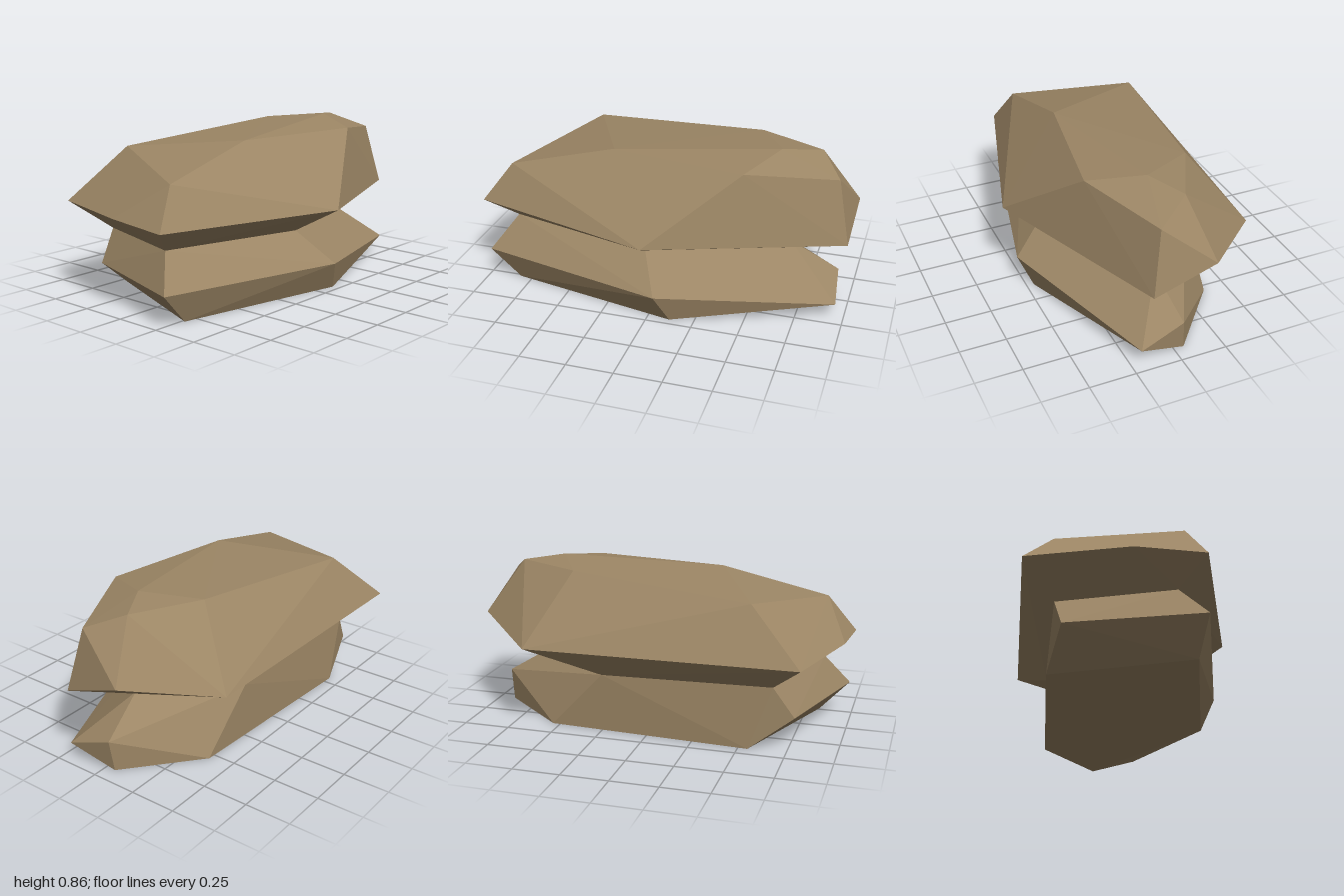
import * as THREE from 'three';
import { ConvexGeometry } from 'three/addons/geometries/ConvexGeometry.js';

const stone = new THREE.MeshStandardMaterial({ color: 0x9c8665 });
stone.name = 'brownStone';

// Narrow waist shared by both layers of the rock
const waist = [
  [-0.85, 0.345, 0.17], [-0.05, 0.325, 0.335], [0.67, 0.325, 0],
  [0.25, 0.31, -0.39], [-0.67, 0.335, -0.41],
];

// Upper layer: widest rim, then the domed top
const upperRim = [
  [-1, 0.47, 0.29], [0, 0.46, 0.575], [0.99, 0.425, 0.16], [1, 0.545, -0.17],
  [0.63, 0.465, -0.545], [-0.83, 0.485, -0.578], [-0.98, 0.49, -0.06],
];
const crown = [
  [-0.85, 0.675, 0.21], [-0.27, 0.815, 0.17], [0.46, 0.815, 0.295], [0.92, 0.76, 0.1],
  [0.6, 0.86, 0.02], [0.8, 0.838, -0.085], [0.44, 0.835, -0.27], [-0.55, 0.76, -0.415],
];

// Lower layer: bulging rim, then the flat foot
const lowerRim = [
  [-0.98, 0.165, 0.29], [0.05, 0.155, 0.525], [0.955, 0.088, 0.2],
  [0.93, 0.17, -0.04], [-0.78, 0.17, -0.38],
];
const foot = [
  [-0.82, 0, 0.265], [0.12, 0, 0.46], [0.91, 0, -0.055],
  [0.54, 0, -0.372], [-0.55, 0, -0.432],
];

// Flat-faced chunk wrapped around rings of corners
function chunk(name, ...rings) {
  const corners = rings.flat().map((p) => new THREE.Vector3(...p));
  const mesh = new THREE.Mesh(new ConvexGeometry(corners), stone);
  mesh.name = name;
  return mesh;
}

export function createModel() {
  const rock = new THREE.Group();
  rock.name = 'layeredRock';
  rock.add(chunk('lowerLayer', foot, lowerRim, waist));
  rock.add(chunk('upperLayer', waist, upperRim, crown));
  return rock;
}
